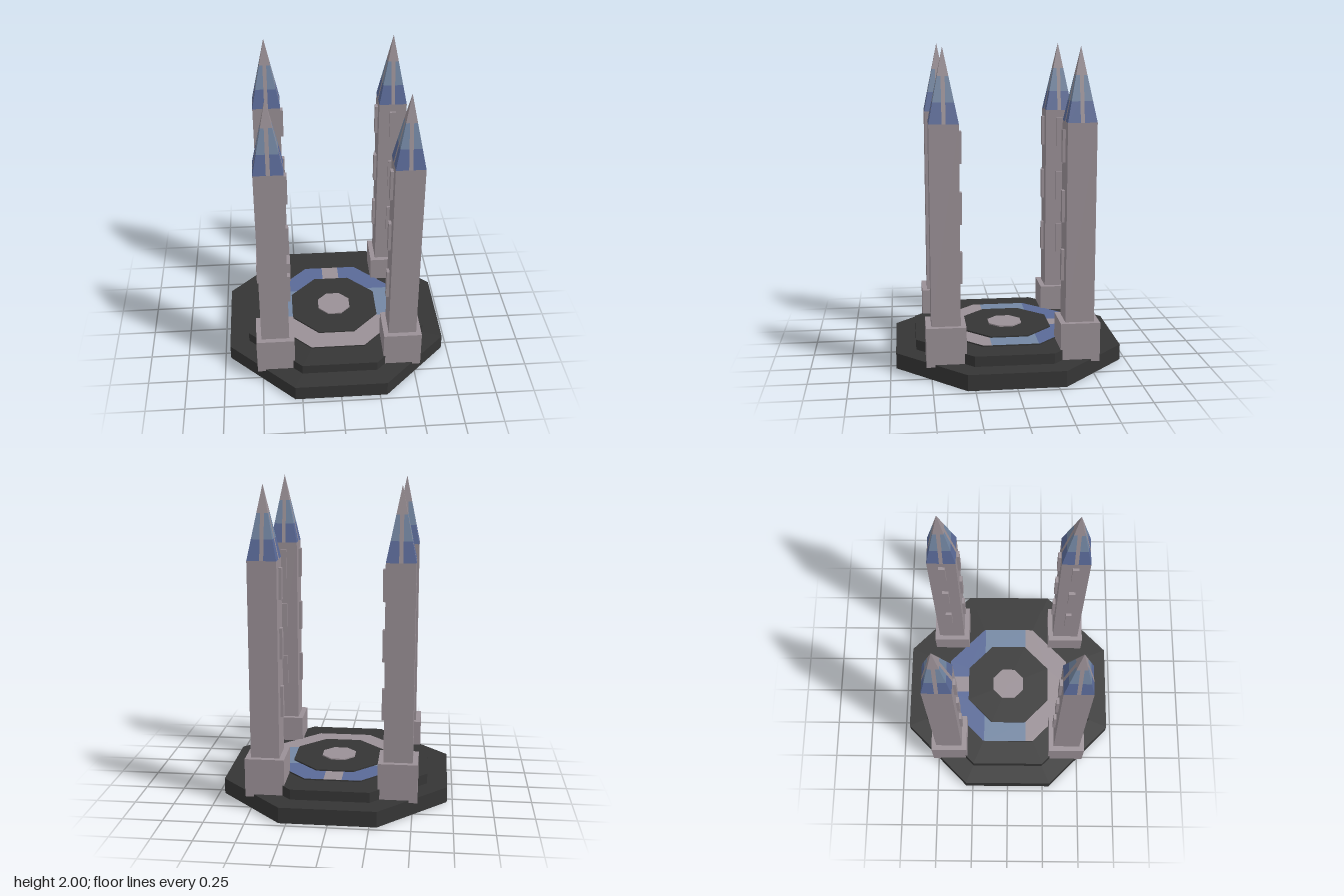
import * as THREE from 'three';

const mat = (name, color) => {
  const m = new THREE.MeshStandardMaterial({ color, flatShading: true });
  m.name = name;
  return m;
};

export function createModel() {
  const model = new THREE.Group();
  model.name = 'fourTowerPlatform';

  const stone = mat('mauve stone', 0x9a9096);
  const dark = mat('charcoal', 0x353535);
  const navy = mat('deep blue', 0x5a6a98);
  const sky = mat('pale blue', 0x7387a3);

  const add = (parent, name, geo, material, x = 0, y = 0, z = 0) => {
    const mesh = new THREE.Mesh(geo, material);
    mesh.name = name;
    mesh.position.set(x, y, z);
    parent.add(mesh);
    return mesh;
  };

  // Octagonal slab given by its half-width and bottom/top heights
  const octagon = (name, half, y0, y1, material) => {
    const r = half / Math.cos(Math.PI / 8);
    const geo = new THREE.CylinderGeometry(r, r, y1 - y0, 8);
    geo.rotateY(Math.PI / 8);
    add(model, name, geo, material, 0, (y0 + y1) / 2, 0);
  };
  octagon('lowerStep', 0.715, 0, 0.1, dark);
  octagon('upperStep', 0.588, 0.1, 0.165, dark);
  octagon('ringBase', 0.425, 0.165, 0.172, dark);
  octagon('innerDisc', 0.287, 0.172, 0.183, dark);
  octagon('centreDisc', 0.107, 0.183, 0.191, stone);

  // Painted ring: [x, z] outlines of the right half, mirrored to the left
  const ringParts = [
    ['ringBackStrip', stone, [[0, -0.425], [0.057, -0.425], [0.057, -0.287], [0, -0.287]]],
    ['ringBack', navy, [[0.057, -0.425], [0.176, -0.425], [0.425, -0.176], [0.425, -0.17],
      [0.237, -0.17], [0.119, -0.287], [0.057, -0.287]]],
    ['ringSide', sky, [[0.237, -0.17], [0.425, -0.17], [0.425, 0.125], [0.282, 0.125],
      [0.287, 0.119], [0.287, -0.119]]],
    ['ringFront', stone, [[0.282, 0.125], [0.425, 0.125], [0.425, 0.176], [0.176, 0.425],
      [0, 0.425], [0, 0.287], [0.119, 0.287]]],
  ];
  for (const [name, material, outline] of ringParts) {
    for (const s of [1, -1]) {
      const shape = new THREE.Shape(outline.map(([x, z]) => new THREE.Vector2(s * x, -z)));
      const geo = new THREE.ShapeGeometry(shape);
      geo.rotateX(-Math.PI / 2);
      add(model, name, geo, material, 0, 0.174, 0);
    }
  }

  // Spire: one triangular side is cut into colour bands and a central strip
  const HALF = 0.089, BASE = 1.555, TIP = 2.0, STRIP = 0.012;
  const widthAt = (y) => HALF * (TIP - y) / (TIP - BASE);
  // Trapezoid on the +z side, between heights y0 and y1
  const panel = (y0, y1, l0, r0, l1, r1) => {
    const z0 = widthAt(y0), z1 = widthAt(y1);
    const a = [l0, y0, z0], b = [r0, y0, z0], c = [r1, y1, z1], d = [l1, y1, z1];
    const geo = new THREE.BufferGeometry();
    geo.setAttribute('position',
      new THREE.Float32BufferAttribute([a, b, c, a, c, d].flat(), 3));
    geo.computeVertexNormals();
    return geo;
  };
  const Y1 = 1.68, Y2 = 1.832;
  const bands = [['spireLowerBand', navy, BASE, Y1], ['spireUpperBand', sky, Y1, Y2]];

  const spire = (tower) => {
    for (let i = 0; i < 4; i++) {
      const side = new THREE.Group();
      side.name = 'spireSide';
      side.rotation.y = i * Math.PI / 2;
      for (const [name, material, y0, y1] of bands) {
        const w0 = widthAt(y0), w1 = widthAt(y1);
        add(side, name, panel(y0, y1, -w0, -STRIP, -w1, -STRIP), material);
        add(side, name, panel(y0, y1, STRIP, w0, STRIP, w1), material);
        add(side, 'spireStrip', panel(y0, y1, -STRIP, STRIP, -STRIP, STRIP), stone);
      }
      const w = widthAt(Y2);
      add(side, 'spireTip', panel(Y2, TIP, -w, w, 0, 0), stone);
      tower.add(side);
    }
  };

  // Four corner towers with window panels on the two inward sides
  for (const sx of [-1, 1]) {
    for (const sz of [-1, 1]) {
      const tower = new THREE.Group();
      tower.name = 'tower';
      tower.position.set(sx * 0.41, 0, sz * 0.41);
      add(tower, 'towerFoot', new THREE.BoxGeometry(0.244, 0.245, 0.244), stone, 0, 0.2075, 0);
      add(tower, 'towerShaft', new THREE.BoxGeometry(HALF * 2, BASE - 0.33, HALF * 2),
        stone, 0, (BASE + 0.33) / 2, 0);
      for (const y of [0.673, 1.04, 1.408]) {
        const off = HALF + 0.008;
        add(tower, 'windowPanel', new THREE.BoxGeometry(0.02, 0.195, 0.04), stone, -sx * off, y, 0);
        add(tower, 'windowPanel', new THREE.BoxGeometry(0.04, 0.195, 0.02), stone, 0, y, -sz * off);
      }
      spire(tower);
      model.add(tower);
    }
  }
  return model;
}
